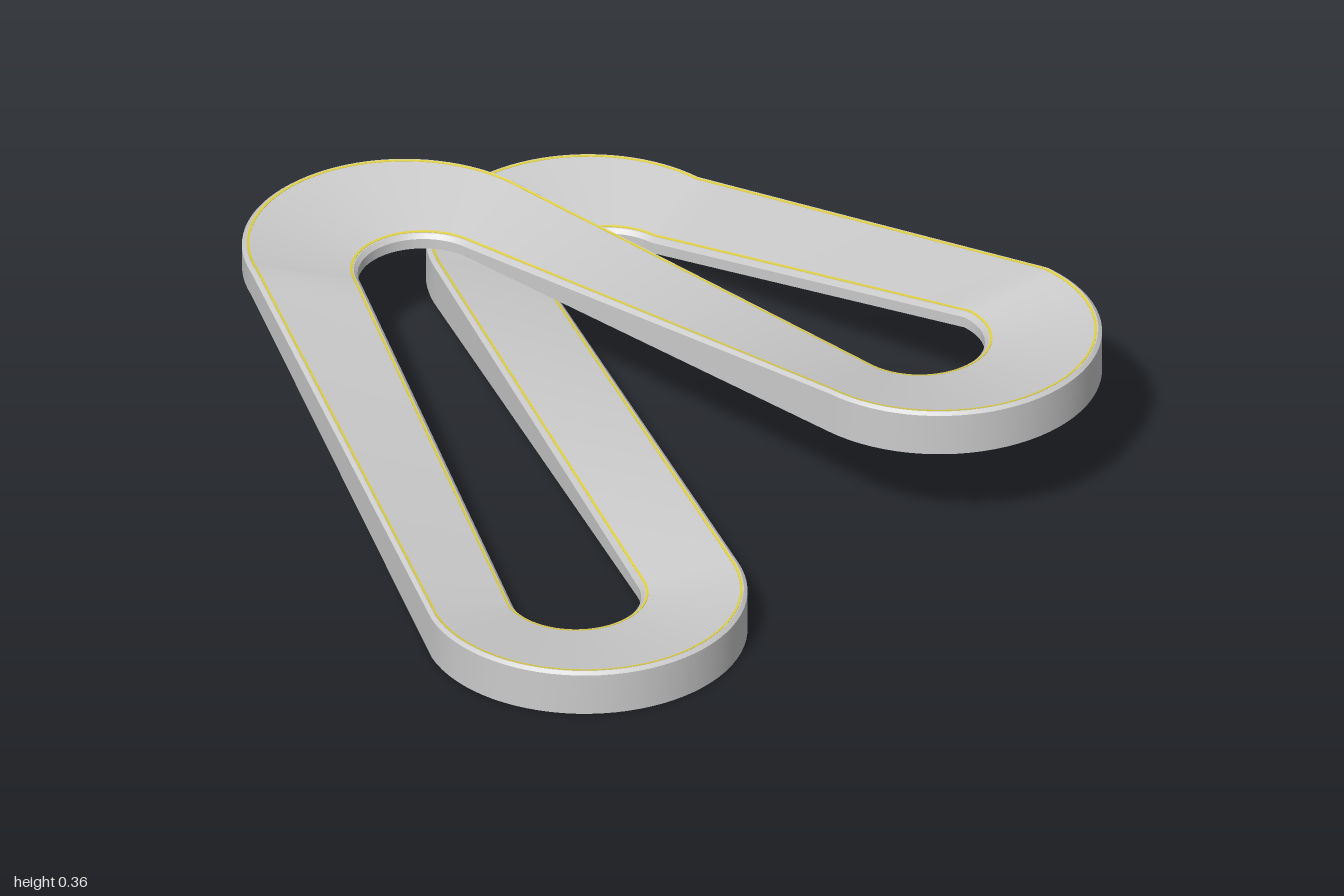
import * as THREE from 'three';
import { toCreasedNormals } from 'three/addons/utils/BufferGeometryUtils.js';

const OUTER = 0.385, INNER = 0.155;
const rad = THREE.MathUtils.degToRad;

// The four rounded ends, in path order: plan centre, shift of the inner edge,
// sweep angles, and [bottom, top] heights of the outer and inner edges.
const ENDS = [
  { c: [-0.575, 0.525], s: [0.03, -0.058], from: 27.2, to: 207.6, out: [0, 0.115], inn: [0.02, 0.06] },
  { c: [0.02, -0.612], s: [0, 0.06], from: 207.6, to: 360, out: [0.265, 0.335], inn: [0.245, 0.28] },
  { c: [0.565, 0.61], s: [0, -0.065], from: 180, to: 0, out: [0.245, 0.36], inn: [0.265, 0.302] },
  { c: [0.565, -0.525], s: [0, 0.06], from: 0, to: -152.8, out: [0.03, 0.14], inn: [0.05, 0.087] },
];

// Stations along the closed loop, each with its two band edges a and b as [x, z, bottom, top]
function buildStations() {
  const stations = [];
  const arcSteps = 40, lineSteps = 14;
  const arcs = ENDS.map((e) => {
    const list = [];
    for (let i = 0; i <= arcSteps; i++) {
      const t = rad(e.from + (e.to - e.from) * i / arcSteps);
      const dx = Math.cos(t), dz = Math.sin(t);
      const outer = [e.c[0] + OUTER * dx, e.c[1] + OUTER * dz, ...e.out];
      const inner = [e.c[0] + e.s[0] + INNER * dx, e.c[1] + e.s[1] + INNER * dz, ...e.inn];
      list.push(e.to > e.from ? { a: outer, b: inner } : { a: inner, b: outer });
    }
    return list;
  });
  const mix = (p, q, t) => p.map((v, k) => v + (q[k] - v) * t);
  arcs.forEach((arc, n) => {
    stations.push(...arc);
    const start = arc[arcSteps], end = arcs[(n + 1) % arcs.length][0];
    for (let i = 1; i < lineSteps; i++) {
      const t = i / lineSteps;
      stations.push({ a: mix(start.a, end.a, t), b: mix(start.b, end.b, t) });
    }
  });
  return stations;
}

// Point on a station: u runs from edge a (0) to edge b (1), lifted from its top or bottom
function at(st, u, level, lift = 0) {
  const v = (k) => st.a[k] + (st.b[k] - st.a[k]) * u;
  return [v(0), v(level === 'top' ? 3 : 2) + lift, v(1)];
}

// Sweep a closed cross-section round the closed loop
function sweep(stations, section) {
  const rings = stations.map(section);
  const m = rings[0].length, pos = [], idx = [];
  rings.forEach((ring, i) => {
    const next = (i + 1) % rings.length;
    ring.forEach((p, j) => {
      pos.push(...p);
      const k = (j + 1) % m;
      const a = i * m + j, b = next * m + j, c = next * m + k, d = i * m + k;
      idx.push(a, b, c, a, c, d);
    });
  });
  const geo = new THREE.BufferGeometry();
  geo.setAttribute('position', new THREE.Float32BufferAttribute(pos, 3));
  geo.setIndex(idx);
  return toCreasedNormals(geo, 0.6);
}

const widthOf = (st) => Math.hypot(st.b[0] - st.a[0], st.b[1] - st.a[1]);

export function createModel() {
  const group = new THREE.Group();
  group.name = 'twistedLoop';
  const stations = buildStations();
  const add = (name, geo, color) => {
    const mesh = new THREE.Mesh(geo, new THREE.MeshStandardMaterial({ color }));
    mesh.name = name;
    group.add(mesh);
  };

  // Main band with small bevels on its upper edges
  const bevel = 0.009;
  add('band', sweep(stations, (st) => {
    const u = bevel / widthOf(st);
    return [
      at(st, 1, 'bottom'), at(st, 1, 'top', -bevel), at(st, 1 - u, 'top'),
      at(st, u, 'top'), at(st, 0, 'top', -bevel), at(st, 0, 'bottom'),
    ];
  }), 0xcccccc);

  // Fine yellow trim lines just inside both upper edges
  const trim = (flip) => sweep(stations, (st) => {
    const w = widthOf(st);
    let near = 0.012 / w, far = 0.018 / w;
    if (flip) [near, far] = [1 - far, 1 - near];
    return [
      at(st, far, 'top', -0.003), at(st, far, 'top', 0.001),
      at(st, near, 'top', 0.001), at(st, near, 'top', -0.003),
    ];
  });
  add('trimLineA', trim(false), 0xe0d040);
  add('trimLineB', trim(true), 0xe0d040);
  return group;
}
